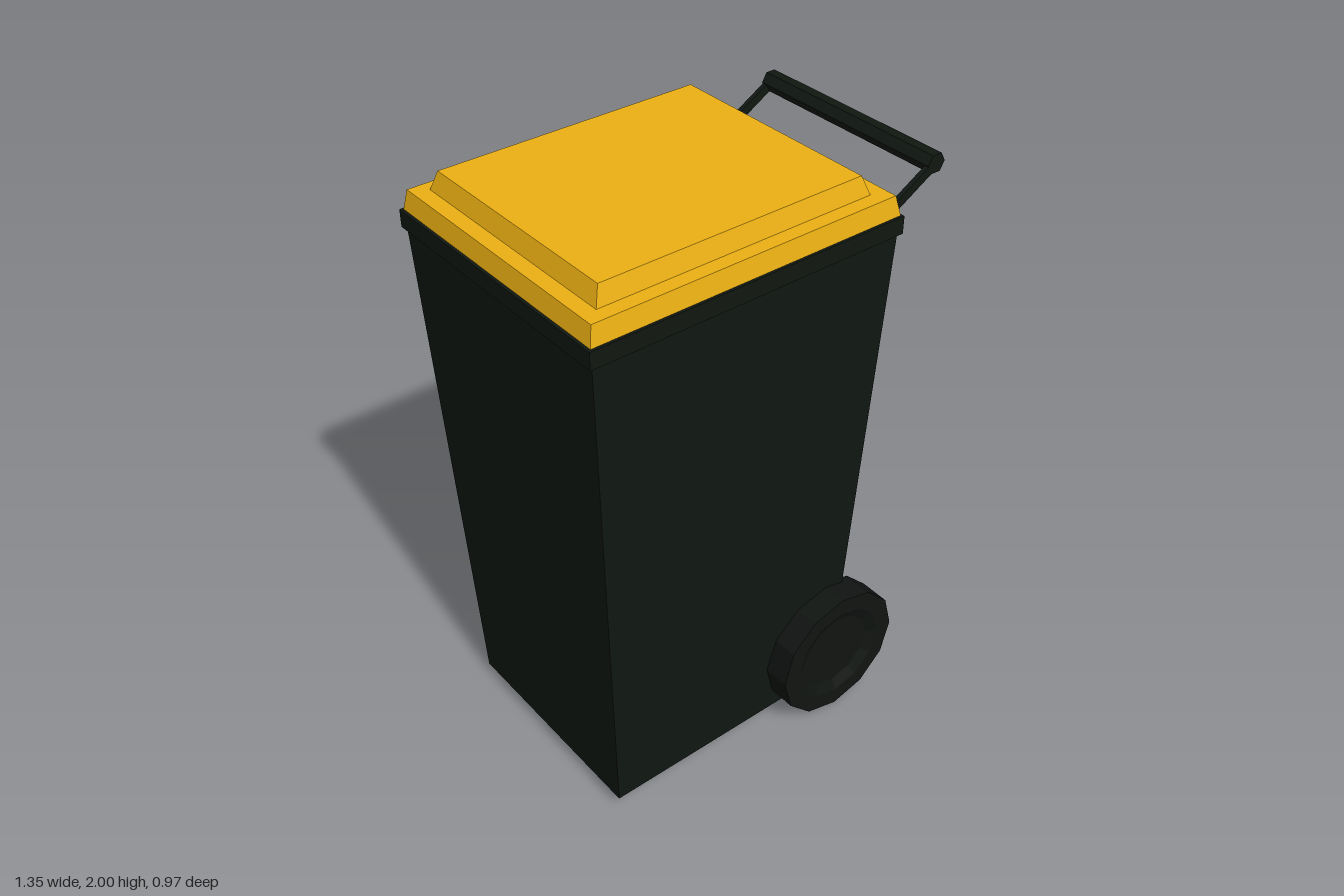
import * as THREE from 'three';

const dark = new THREE.MeshStandardMaterial({ color: 0x101711, flatShading: true });
const rubber = new THREE.MeshStandardMaterial({ color: 0x101411, flatShading: true });
const yellow = new THREE.MeshStandardMaterial({ color: 0xecb013, flatShading: true });

// Box whose bottom and top rectangles differ; each rectangle is [x0, x1, z0, z1]
function taperedBox(name, y0, y1, bottom, top, material) {
  const geo = new THREE.BoxGeometry(1, 1, 1);
  const p = geo.attributes.position;
  for (let i = 0; i < p.count; i++) {
    const up = p.getY(i) > 0;
    const r = up ? top : bottom;
    p.setXYZ(i, p.getX(i) < 0 ? r[0] : r[1], up ? y1 : y0, p.getZ(i) < 0 ? r[2] : r[3]);
  }
  geo.computeVertexNormals();
  const mesh = new THREE.Mesh(geo, material);
  mesh.name = name;
  return mesh;
}

// Twelve-sided wheel with a shallow recessed face on both sides
function makeWheel(name, side) {
  const profile = [[0, -0.035], [0.14, -0.035], [0.18, -0.053], [0.243, -0.053],
    [0.243, 0.053], [0.18, 0.053], [0.14, 0.035], [0, 0.035]]
    .map(([r, h]) => new THREE.Vector2(r, h));
  const wheel = new THREE.Mesh(new THREE.LatheGeometry(profile, 12), rubber);
  wheel.name = name;
  wheel.rotation.x = Math.PI / 2;
  wheel.position.set(0.273, 0.246, side * 0.433);
  return wheel;
}

export function createModel() {
  const model = new THREE.Group();
  model.name = 'wheeledBin';

  // Foot, tapered container and rim
  model.add(
    taperedBox('base', 0, 0.05, [-0.53, 0.27, -0.335, 0.33], [-0.575, 0.315, -0.375, 0.37], dark),
    taperedBox('body', 0.045, 1.85, [-0.592, 0.332, -0.39, 0.387], [-0.667, 0.407, -0.455, 0.452], dark),
    taperedBox('rim', 1.82, 1.877, [-0.678, 0.418, -0.464, 0.461], [-0.678, 0.418, -0.464, 0.461], dark)
  );

  // Two-step lid
  model.add(
    taperedBox('lid', 1.877, 1.94, [-0.668, 0.412, -0.457, 0.452], [-0.656, 0.397, -0.446, 0.441], yellow),
    taperedBox('lidPanel', 1.94, 2.0, [-0.605, 0.344, -0.405, 0.393], [-0.585, 0.322, -0.386, 0.375], yellow)
  );

  // Wheels
  model.add(makeWheel('leftWheel', 1), makeWheel('rightWheel', -1));

  // Handle: two slanted arms and a six-sided grip
  const handle = new THREE.Group();
  handle.name = 'handle';
  const start = new THREE.Vector2(0.395, 1.785), end = new THREE.Vector2(0.64, 1.928);
  const run = end.clone().sub(start);
  for (const z of [-0.365, 0.355]) {
    const arm = new THREE.Mesh(new THREE.BoxGeometry(run.length(), 0.03, 0.016), dark);
    arm.name = 'handleArm';
    arm.position.set((start.x + end.x) / 2, (start.y + end.y) / 2, z);
    arm.rotation.z = run.angle();
    handle.add(arm);
  }
  const grip = new THREE.Mesh(new THREE.CylinderGeometry(0.034, 0.034, 0.738, 6), dark);
  grip.name = 'handleGrip';
  grip.rotation.set(Math.PI / 2, Math.PI / 6, 0, 'XYZ');
  grip.position.set(0.641, 1.93, -0.006);
  grip.geometry.rotateY(Math.PI / 6);
  grip.rotation.set(Math.PI / 2, 0, 0);
  handle.add(grip);
  model.add(handle);

  return model;
}
